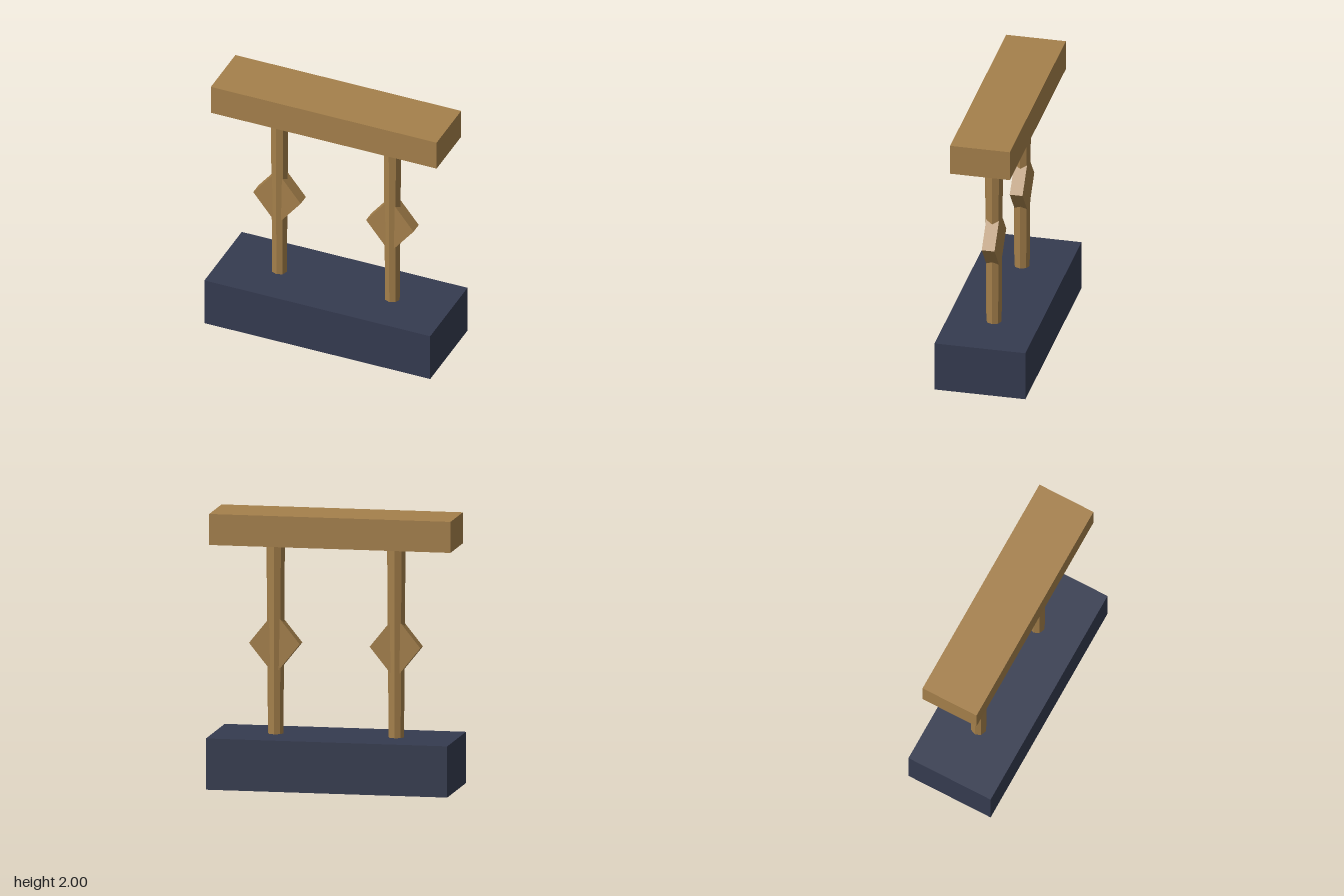
import * as THREE from 'three';

export function createModel() {
  const model = new THREE.Group();
  model.name = 'railing';

  const wood = new THREE.MeshStandardMaterial({ color: 0xa5804b, flatShading: true });
  wood.name = 'wood';
  const slate = new THREE.MeshStandardMaterial({ color: 0x353b50, flatShading: true });
  slate.name = 'slate';

  const add = (parent, name, geometry, material, x, y) => {
    const mesh = new THREE.Mesh(geometry, material);
    mesh.name = name;
    mesh.position.set(x, y, 0);
    parent.add(mesh);
  };

  const baseTop = 0.375, beamBottom = 1.773;

  // Heavy base block and top rail
  add(model, 'base', new THREE.BoxGeometry(1.78, baseTop, 0.674), slate, 0, baseTop / 2);
  add(model, 'topRail', new THREE.BoxGeometry(1.78, 2 - beamBottom, 0.443), wood, 0, (2 + beamBottom) / 2);

  // Eight-sided posts, widening upwards, each with a diamond boss
  const postHeight = beamBottom - baseTop;
  const postGeometry = new THREE.CylinderGeometry(0.068, 0.057, postHeight, 8);
  const diamondGeometry = new THREE.CylinderGeometry(1, 1, 0.095, 4)
    .rotateX(Math.PI / 2)
    .scale(0.187, 0.232, 1);
  for (const side of [1, -1]) {
    const baluster = new THREE.Group();
    baluster.name = side > 0 ? 'leftBaluster' : 'rightBaluster';
    baluster.position.x = side * 0.445;
    add(baluster, 'post', postGeometry, wood, 0, baseTop + postHeight / 2);
    add(baluster, 'diamond', diamondGeometry, wood, 0, 1.038);
    model.add(baluster);
  }

  return model;
}
